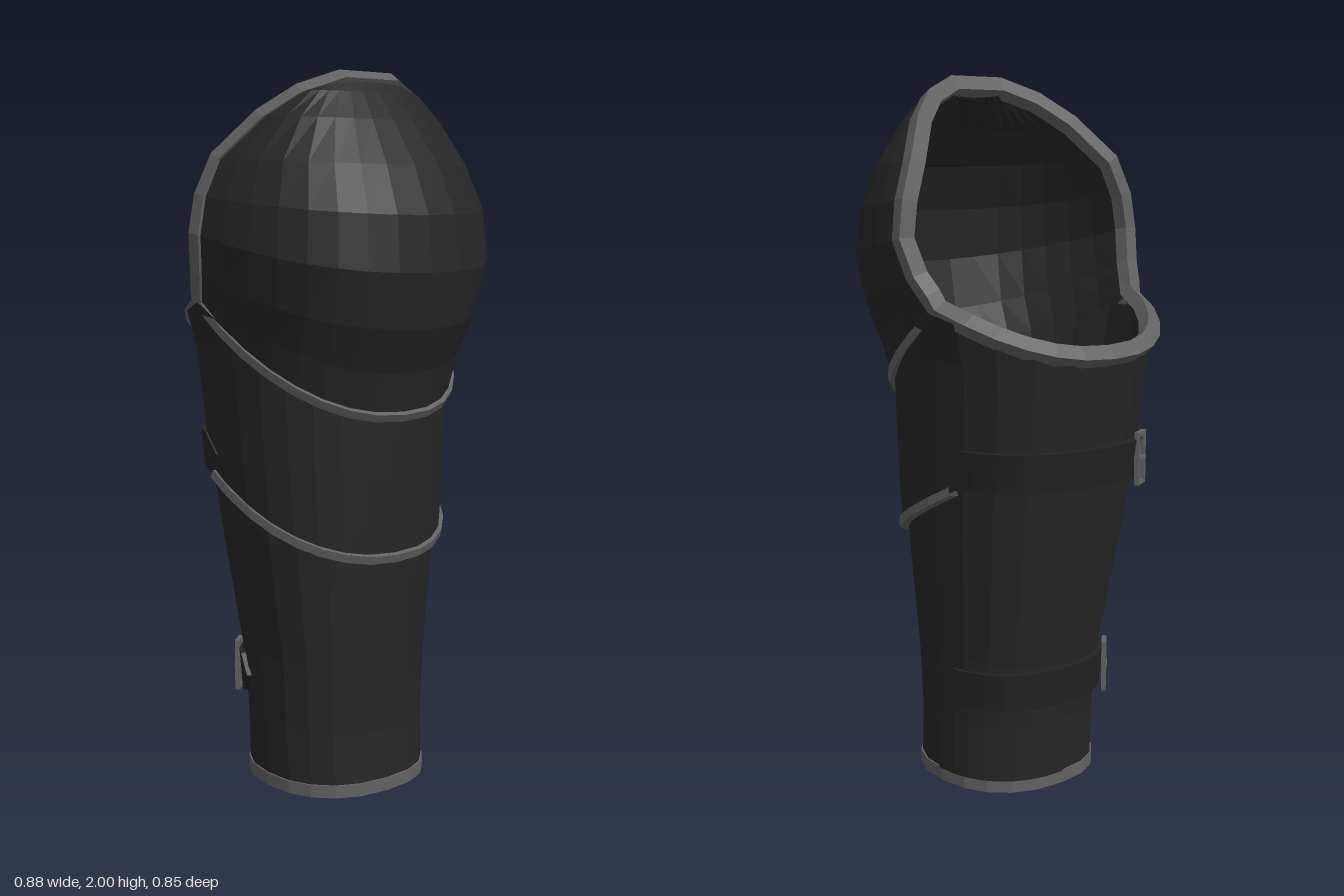
import * as THREE from 'three';

const V = (x, y, z) => new THREE.Vector3(x, y, z);
const rad = THREE.MathUtils.degToRad;
const lerp = THREE.MathUtils.lerp;
const soft = (v) => Math.sign(v) * Math.pow(Math.abs(v), 0.87);
const range = (n, a, b) => Array.from({ length: n + 1 }, (_, i) => lerp(a, b, i / n));

// forearm sections: height, half width, front z, back z
const ARM = [
  [0, 0.243, 0.25, -0.226], [0.2, 0.247, 0.238, -0.228], [0.36, 0.255, 0.246, -0.245],
  [0.7, 0.295, 0.263, -0.312], [0.9, 0.315, 0.268, -0.35], [1.25, 0.335, 0.275, -0.405], [1.42, 0.385, 0.28, -0.42],
];
// elbow cup rows: side point x, y, z, then front point y, z
const CUP = [
  [0.37, 1.38, -0.13, 1.08, 0.305], [0.385, 1.42, -0.11, 1.2, 0.335], [0.405, 1.47, -0.08, 1.32, 0.388],
  [0.427, 1.57, -0.05, 1.47, 0.42], [0.412, 1.67, -0.045, 1.62, 0.405], [0.372, 1.77, -0.03, 1.75, 0.347],
  [0.285, 1.88, 0.05, 1.87, 0.26], [0.2, 1.945, 0.11, 1.945, 0.195], [0.09, 1.985, 0.152, 1.988, 0.155],
];

// point on the forearm; angle 0 is the front, 90 the +x side
function armPoint(deg, y, off = 0) {
  let k = 0;
  while (k < ARM.length - 2 && y > ARM[k + 1][0]) k++;
  const [p, q] = [ARM[k], ARM[k + 1]];
  const t = (y - p[0]) / (q[0] - p[0]);
  const [w, f, b] = [1, 2, 3].map((i) => lerp(p[i], q[i], t));
  const s = soft(Math.sin(rad(deg))), c = soft(Math.cos(rad(deg)));
  return V((w + off) * s, y, (f + b) / 2 + ((f - b) / 2 + off) * c);
}
const topY = (deg) => {
  const z = armPoint(deg, 1.3).z;
  return Math.min(1.25 + (z + 0.41) * 0.48, 1.4 - (z + 0.13) * 0.68);
};
const plateY = (deg) => 0.9 - (armPoint(deg, 0.8).z + 0.13) * 0.54;

function cupRow([x, y, z, my, mz], inset = 0) {
  return range(16, -90, 90).map((d) => {
    const s = Math.sin(rad(d)), c = Math.pow(Math.max(0, Math.cos(rad(d))), 0.87);
    return V((x - inset) * soft(s), lerp(y, my, c) - (y > 1.8 ? inset * 0.6 : 0), lerp(z, mz - inset, c));
  });
}

// faceted surface through rows of points
function loft(rows) {
  const pos = [];
  for (let j = 0; j < rows.length - 1; j++) {
    for (let i = 0; i < rows[j].length - 1; i++) {
      const a = rows[j][i], b = rows[j][i + 1], c = rows[j + 1][i + 1], d = rows[j + 1][i];
      for (const p of [a, b, c, a, c, d]) pos.push(p.x, p.y, p.z);
    }
  }
  const g = new THREE.BufferGeometry();
  g.setAttribute('position', new THREE.Float32BufferAttribute(pos, 3));
  g.computeVertexNormals();
  return g;
}

// rectangular strip swept along a path, facing away from centre
function sweep(pts, centre, out, inn, half, closed = false) {
  const n = pts.length;
  const sections = pts.map((p, i) => {
    const prev = closed ? pts[(i + n - 1) % n] : pts[Math.max(0, i - 1)];
    const next = closed ? pts[(i + 1) % n] : pts[Math.min(n - 1, i + 1)];
    const t = next.clone().sub(prev).normalize();
    const o = p.clone().sub(centre);
    o.addScaledVector(t, -o.dot(t)).normalize();
    const b = o.clone().cross(t).normalize();
    const corner = (u, v) => p.clone().addScaledVector(o, u).addScaledVector(b, v);
    const ring = [corner(out, half), corner(inn, half), corner(inn, -half), corner(out, -half)];
    return [...ring, ring[0]];
  });
  if (closed) sections.push(sections[0]);
  return loft(sections);
}

export function createModel() {
  const group = new THREE.Group();
  const material = (name, color) => new THREE.MeshStandardMaterial({ name, color, side: THREE.DoubleSide });
  const dark = material('dark shell', 0x262626);
  const leather = material('dark leather', 0x222222);
  const grey = material('grey metal trim', 0x626262);
  const add = (name, geometry, mat) => {
    const m = new THREE.Mesh(geometry, mat);
    m.name = name;
    group.add(m);
    return m;
  };
  // patch of forearm between two heights that may vary with the angle
  const patch = (a0, a1, cols, rows, low, high, off) =>
    loft(range(rows, 0, 1).map((t) => range(cols, a0, a1).map((d) => armPoint(d, lerp(low(d), high(d), t), off))));

  // forearm tube and its lining
  add('forearmShell', patch(0, 360, 20, 7, () => 0.015, topY, 0), dark);
  add('forearmLining', patch(0, 360, 20, 5, () => 0.015, topY, -0.028), dark);
  const wristRing = range(20, 0, 360).slice(0, 20).map((d) => armPoint(d, 0.018));
  add('wristTrim', sweep(wristRing, V(0, 0.018, 0.01), 0.005, -0.03, 0.018, true), grey);

  // overlapping middle plate
  add('middlePlate', patch(-108, 108, 16, 4, plateY, topY, 0.016), dark);
  const plateEdge = range(16, -104, 104).map((d) => armPoint(d, plateY(d), 0.01));
  add('middlePlateTrim', sweep(plateEdge, V(0, 0.78, 0), 0.016, -0.012, 0.012), grey);

  // elbow cup
  add('elbowCup', loft(CUP.map((r) => cupRow(r))), dark);
  add('elbowCupLining', loft(CUP.map((r) => cupRow(r, 0.03))), dark);
  add('elbowCupTrim', sweep(cupRow(CUP[0]), V(0, 1.35, -0.12), 0.01, -0.025, 0.012), grey);

  // rim around the whole opening
  const side = (s) => CUP.map(([x, y, z]) => V(s * x, y, z));
  const back = range(10, 112, 248).map((d) => armPoint(d, topY(d)));
  const rim = [...side(-1), ...side(1).reverse(), ...back];
  add('openingRim', sweep(rim, V(0, 1.6, -0.1), 0.01, -0.036, 0.02, true), grey);

  // straps behind, each a raised band with a pointed tip
  const strap = (name, a0, a1, y0, y1, off) => {
    const mid = (y0 + y1) / 2;
    const taper = (d, y) => lerp(y, mid, Math.max(0, (d - (a1 - 10)) / 10));
    const lo = (d) => taper(d, y0), hi = (d) => taper(d, y1);
    const angles = [...range(12, a0, a1 - 10), a1];
    const row = (f, o) => angles.map((d) => armPoint(d, f(d), o));
    add(name, loft([row(lo, 0), row(lo, off), row(hi, off), row(hi, 0)]), leather);
  };
  strap('upperStrap', 104, 262, 0.9, 1.01, 0.02);
  strap('lowerStrap', 100, 256, 0.25, 0.36, 0.014);
  add('lowerSidePanel', patch(88, 180, 8, 2, () => 0.035, () => 0.35, 0.006), dark);

  // buckles: open rectangular frames with a prong
  const buckle = (name, deg, y, off) => {
    const frame = new THREE.Shape([[-0.03, -0.075], [0.03, -0.075], [0.03, 0.075], [-0.03, 0.075]].map((p) => new THREE.Vector2(...p)));
    frame.holes.push(new THREE.Path([[-0.019, -0.064], [-0.019, 0.064], [0.019, 0.064], [0.019, -0.064]].map((p) => new THREE.Vector2(...p))));
    const b = new THREE.Group();
    b.name = name;
    const ring = new THREE.Mesh(new THREE.ExtrudeGeometry(frame, { depth: 0.014, bevelEnabled: false }), grey);
    ring.name = 'buckleFrame';
    const prong = new THREE.Mesh(new THREE.BoxGeometry(0.05, 0.01, 0.01), grey);
    prong.name = 'buckleProng';
    prong.position.z = 0.012;
    b.add(ring, prong);
    const p = armPoint(deg, y, off), e = 4;
    const t = armPoint(deg + e, y, off).sub(armPoint(deg - e, y, off));
    b.position.copy(p);
    b.rotation.y = Math.atan2(-t.z, t.x);
    group.add(b);
  };
  buckle('upperBuckle', 208, 0.955, 0.02);
  buckle('lowerBuckle', 225, 0.305, 0.016);

  return group;
}
